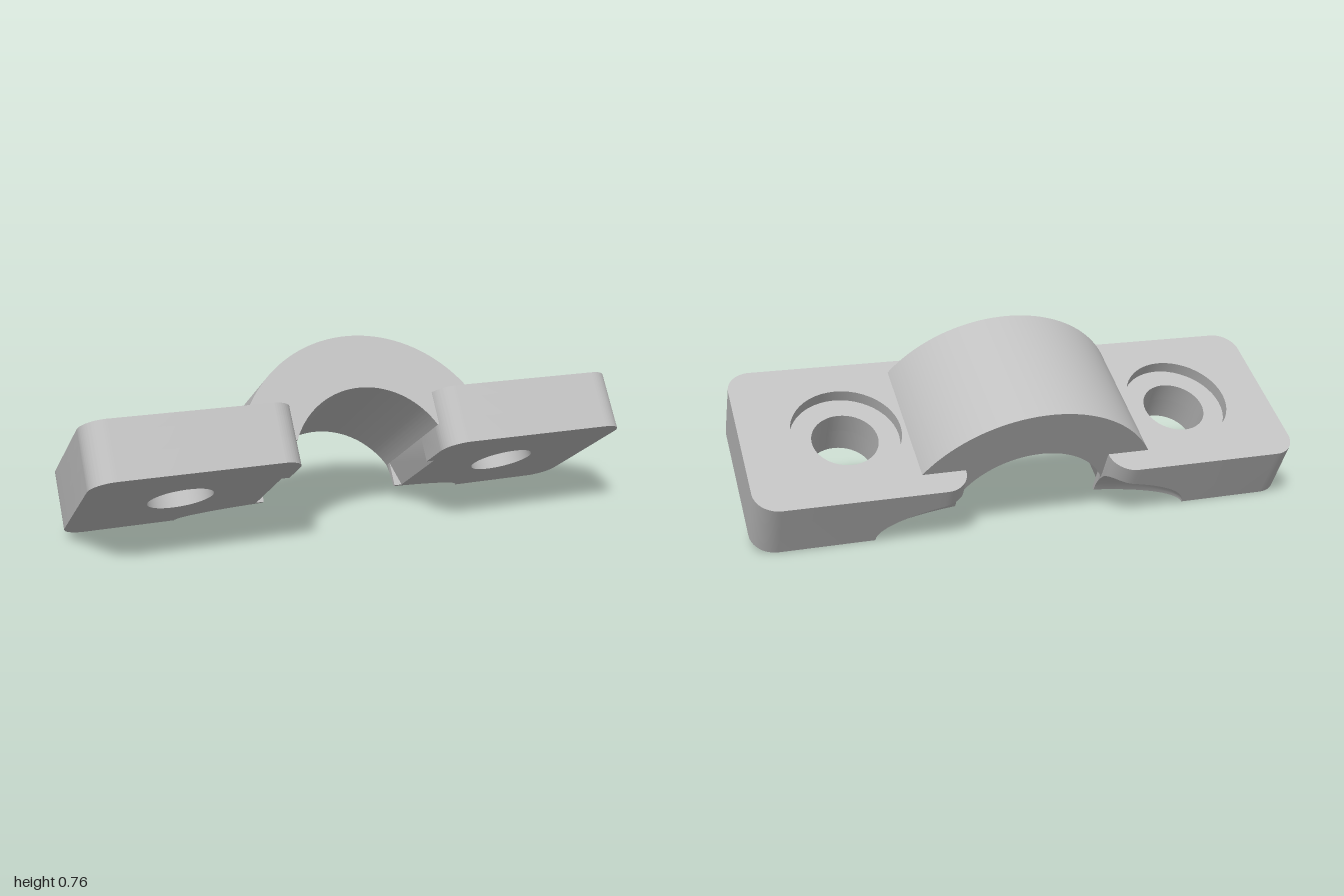
import * as THREE from 'three';
import { toCreasedNormals } from 'three/addons/utils/BufferGeometryUtils.js';

// Local frame: x along the strap, y through the plate, z across it
const THICK = 0.235, WIDTH = 0.708, INNER = 0.295, OUTER = 1.105, ROUND = 0.095;
const STRIP = 0.13;                 // width of the scooped edge strip
const AXIS_Y = -0.048, BORE = 0.33, RING = 0.546;
const STEP_Y = 0.1, FLOOR_Y = 0.185; // bore step and counterbore floor

// Plate layer with a round hole, between two heights
function layer(bottom, top, holeRadius, bored) {
  const s = new THREE.Shape();
  const start = bored ? 0.328 : INNER;
  s.moveTo(start, STRIP);
  s.lineTo(OUTER, STRIP);
  s.lineTo(OUTER, WIDTH - ROUND);
  s.absarc(OUTER - ROUND, WIDTH - ROUND, ROUND, 0, Math.PI / 2, false);
  s.lineTo(INNER + ROUND, WIDTH);
  s.absarc(INNER + ROUND, WIDTH - ROUND, ROUND, Math.PI / 2, Math.PI, false);
  s.lineTo(INNER, 0.478);
  if (bored) s.lineTo(start, 0.478);
  const hole = new THREE.Path();
  hole.absarc(0.7, WIDTH / 2, holeRadius, 0, Math.PI * 2, true);
  s.holes.push(hole);
  const g = new THREE.ExtrudeGeometry(s, { depth: top - bottom, bevelEnabled: false, curveSegments: 24 });
  g.rotateX(Math.PI / 2).translate(0, top, 0);
  if (bored) {
    // lean the inner wall to follow the bore
    const p = g.attributes.position;
    for (let i = 0; i < p.count; i++) {
      if (p.getX(i) < 0.329 && p.getZ(i) < 0.479 && p.getY(i) > top - 0.01) p.setX(i, INNER);
    }
  }
  return g;
}

// Edge strip lofted along x, with rounded ends and a concave scoop underneath
function edgeStrip() {
  const ARC = 10, xs = [];
  for (let i = 0; i <= 10; i++) {
    const d = ROUND * (1 - Math.cos((i / 10) * Math.PI / 2));
    xs.push(INNER + d, OUTER - d);
  }
  for (let i = 1; i <= 16; i++) xs.push(0.4 + 0.244 * Math.sin((i / 16) * Math.PI / 2));
  xs.sort((a, b) => a - b);

  const sections = xs.map((x) => {
    const d = Math.max(0, ROUND - Math.min(x - INNER, OUTER - x));
    const edge = ROUND - Math.sqrt(Math.max(0, ROUND * ROUND - d * d));
    const k = Math.sqrt(Math.max(0, 1 - (x / 0.644) ** 2));
    const a = 0.131 * k, b = 0.19 * k;
    const end = a > edge ? Math.acos(edge / a) : 0;
    const pts = [[x, 0, STRIP]];
    for (let i = 0; i <= ARC; i++) {
      const t = (end * i) / ARC;
      pts.push([x, b * Math.sin(t) * (a > edge ? 1 : 0), Math.max(edge, a * Math.cos(t))]);
    }
    pts.push([x, THICK, edge], [x, THICK, STRIP]);
    return pts;
  });

  const pos = [];
  const tri = (...c) => c.forEach((v) => pos.push(...v));
  const n = sections[0].length;
  for (let k = 0; k + 1 < sections.length; k++) {
    const p = sections[k], q = sections[k + 1];
    for (let i = 0; i < n; i++) {
      const j = (i + 1) % n;
      tri(p[i], p[j], q[j]);
      tri(p[i], q[j], q[i]);
    }
  }
  const first = sections[0], last = sections[sections.length - 1];
  for (let i = 0; i + 2 < n; i++) {
    tri(first[n - 1], first[i + 1], first[i]);
    tri(last[n - 1], last[i], last[i + 1]);
  }
  const g = new THREE.BufferGeometry();
  g.setAttribute('position', new THREE.Float32BufferAttribute(pos, 3));
  return g;
}

// Half ring bridging the plates
function archGeometry() {
  const s = new THREE.Shape();
  const outer = Math.asin((0.2 - AXIS_Y) / RING);
  const inner = Math.asin((STEP_Y - AXIS_Y) / BORE);
  const side = RING * Math.cos(outer);
  s.moveTo(side, STEP_Y);
  s.absarc(0, AXIS_Y, RING, outer, Math.PI - outer, false);
  s.lineTo(-side, STEP_Y);
  s.absarc(0, AXIS_Y, BORE, Math.PI - inner, inner, true);
  const g = new THREE.ExtrudeGeometry(s, { depth: 0.551, bevelEnabled: false, curveSegments: 56 });
  return g.translate(0, 0, 0.096);
}

// Mirror across x and restore the winding
function mirrored(geometry) {
  const g = geometry.index ? geometry.toNonIndexed() : geometry.clone();
  g.scale(-1, 1, 1);
  const p = g.attributes.position;
  const a = new THREE.Vector3(), b = new THREE.Vector3();
  for (let i = 0; i < p.count; i += 3) {
    a.fromBufferAttribute(p, i + 1);
    b.fromBufferAttribute(p, i + 2);
    p.setXYZ(i + 1, b.x, b.y, b.z);
    p.setXYZ(i + 2, a.x, a.y, a.z);
  }
  return g;
}

export function createModel() {
  const metal = new THREE.MeshStandardMaterial({ color: 0xc0c0c0 });
  metal.name = 'light grey metal';

  const clamp = new THREE.Group();
  clamp.name = 'pipeClamp';
  const add = (parent, name, geometry) => {
    geometry.deleteAttribute('uv');
    geometry.computeVertexNormals();
    const mesh = new THREE.Mesh(toCreasedNormals(geometry, 0.5), metal);
    mesh.name = name;
    parent.add(mesh);
  };

  add(clamp, 'arch', archGeometry());

  // Two mounting plates
  const parts = {
    plateBase: layer(0, STEP_Y, 0.129, true),
    plateMiddle: layer(STEP_Y, FLOOR_Y, 0.129, false),
    plateCounterbore: layer(FLOOR_Y, THICK, 0.213, false),
    plateScoopedEdge: edgeStrip(),
  };
  for (const side of ['left', 'right']) {
    const plate = new THREE.Group();
    plate.name = side + 'MountingPlate';
    for (const [name, g] of Object.entries(parts)) {
      add(plate, name, side === 'left' ? g.clone() : mirrored(g));
    }
    clamp.add(plate);
  }

  // Tilt about the strap's length, then turn it diagonally
  clamp.rotation.set(-THREE.MathUtils.degToRad(31.5), Math.PI / 4, 0, 'YXZ');
  clamp.position.set(-0.178, 0, -0.178);

  const model = new THREE.Group();
  model.name = 'model';
  model.add(clamp);
  return model;
}
